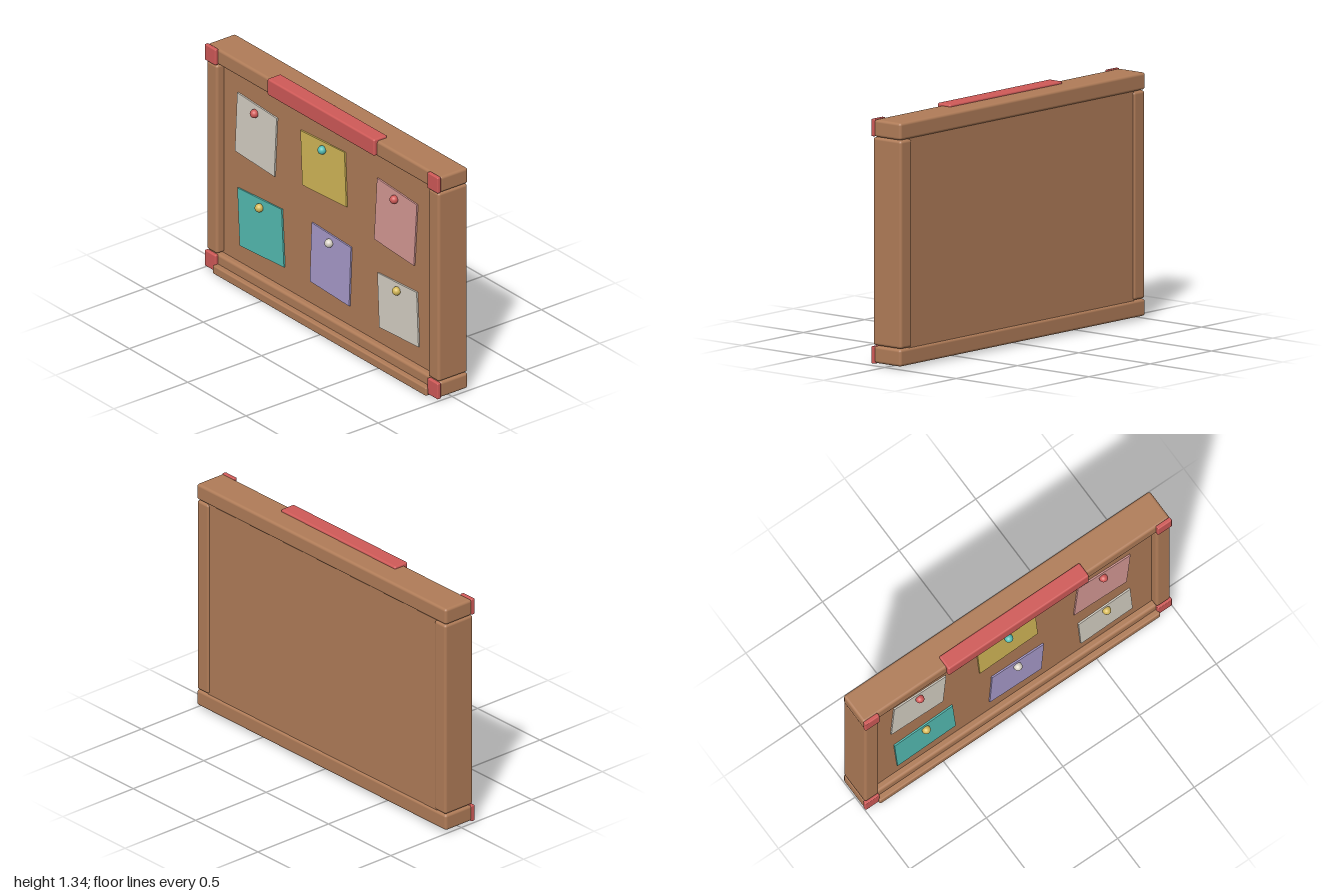
import * as THREE from 'three';
import { RoundedBoxGeometry } from 'three/addons/geometries/RoundedBoxGeometry.js';

const material = (name, color) => {
  const m = new THREE.MeshStandardMaterial({ color });
  m.name = name;
  return m;
};

export function createModel() {
  const wood = material('wood', 0xb07c58);
  const red = material('red', 0xd05a58);
  const cream = material('cream', 0xd8d2c6);
  const yellow = material('yellow', 0xd4b858);
  const pink = material('pink', 0xd89a96);
  const teal = material('teal', 0x55bdb4);
  const lavender = material('lavender', 0xa99ccc);

  const group = new THREE.Group();
  group.name = 'noticeBoard';

  // Box given by its limits on each axis, with softly rounded edges
  const block = (name, mat, [x0, x1], [y0, y1], [z0, z1], radius = 0.012) => {
    const geometry = new RoundedBoxGeometry(x1 - x0, y1 - y0, z1 - z0, 3, radius);
    const mesh = new THREE.Mesh(geometry, mat);
    mesh.position.set((x0 + x1) / 2, (y0 + y1) / 2, (z0 + z1) / 2);
    mesh.name = name;
    group.add(mesh);
  };

  // Recessed board and its frame
  block('board', wood, [-0.92, 0.92], [0.09, 1.25], [-0.1, 0.04], 0.005);
  block('topRail', wood, [-1, 1], [1.237, 1.33], [-0.11, 0.078], 0.015);
  block('bottomRail', wood, [-1, 1], [0.015, 0.107], [-0.11, 0.078], 0.015);
  block('ledge', wood, [-0.915, 0.915], [0, 0.05], [0.01, 0.11], 0.008);

  for (const side of [-1, 1]) {
    const label = side > 0 ? 'left' : 'right';
    const span = (a, b) => (side > 0 ? [a, b] : [-b, -a]);
    block(label + 'Post', wood, span(0.905, 0.997), [0.11, 1.234], [-0.11, 0.088], 0.015);
    // Corner plates
    block(label + 'TopCorner', red, span(0.908, 1), [1.238, 1.332], [0.073, 0.097], 0.006);
    block(label + 'BottomCorner', red, span(0.908, 1), [0.01, 0.104], [0.073, 0.097], 0.006);
  }

  // Clip over the top rail
  block('topClip', red, [-0.46, 0.457], [1.245, 1.343], [0.008, 0.1], 0.01);

  // Pinned notes: x, y, width, height, tilt in degrees, paper, pin height, pin colour
  const notes = [
    [-0.62, 0.928, 0.338, 0.356, -3.2, cream, 1.056, red],
    [-0.04, 0.957, 0.378, 0.32, 2.9, yellow, 1.072, teal],
    [0.578, 0.887, 0.342, 0.374, -3.9, pink, 1.025, red],
    [-0.578, 0.39, 0.38, 0.338, 3.4, teal, 0.511, yellow],
    [0.02, 0.41, 0.337, 0.356, -2.5, lavender, 0.54, cream],
    [0.599, 0.371, 0.337, 0.32, 2.8, cream, 0.487, yellow],
  ];
  const pinGeometry = new THREE.SphereGeometry(0.024, 20, 14);
  for (const [x, y, w, h, tilt, paper, pinY, pinColour] of notes) {
    const note = new THREE.Mesh(new THREE.BoxGeometry(w, h, 0.009), paper);
    note.name = 'note';
    note.position.set(x, y, 0.0455);
    note.rotation.z = THREE.MathUtils.degToRad(tilt);
    const pin = new THREE.Mesh(pinGeometry, pinColour);
    pin.name = 'pin';
    pin.position.set(x, pinY, 0.06);
    group.add(note, pin);
  }
  return group;
}
